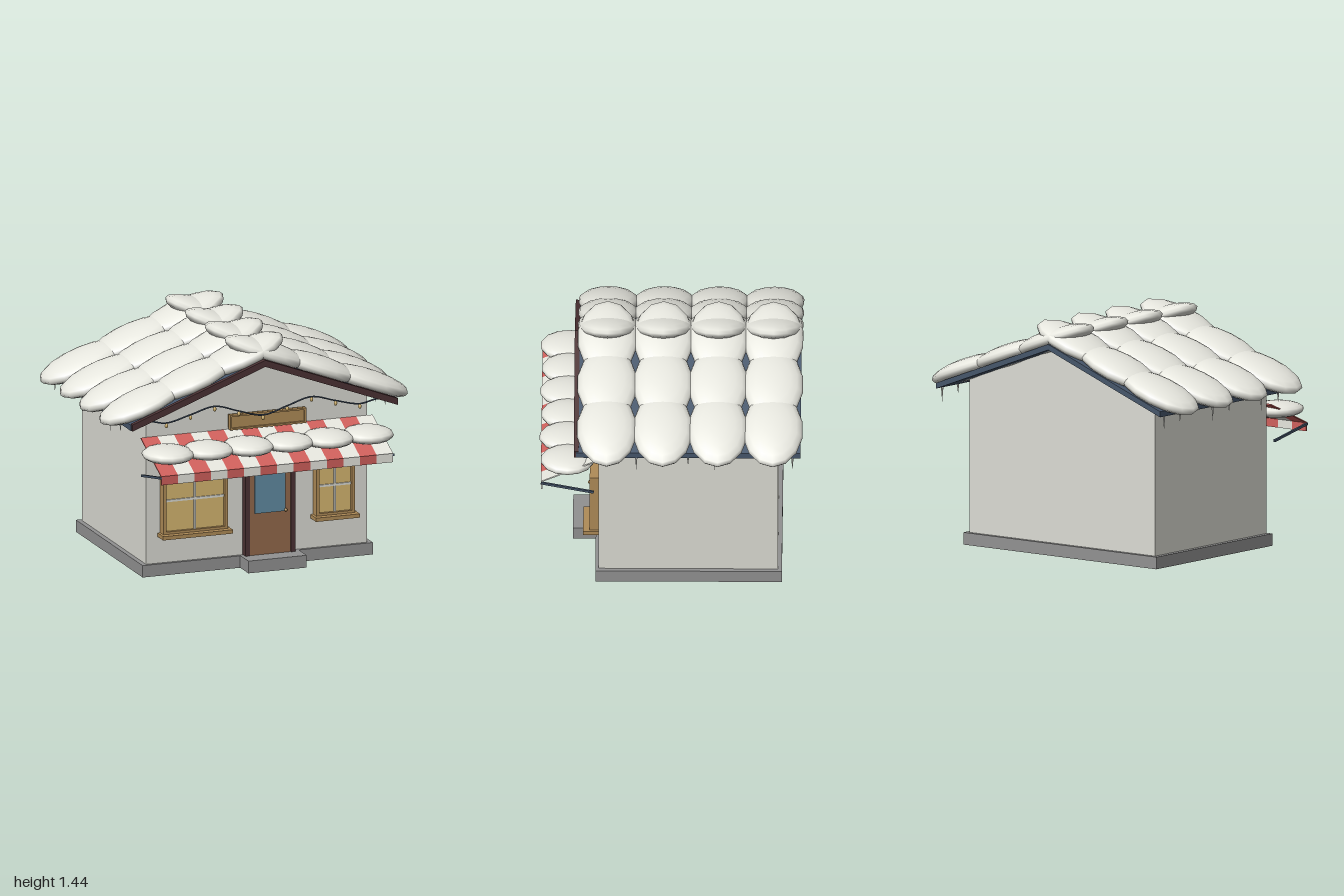
import * as THREE from 'three';

const mat = (name, color, side = THREE.FrontSide) => {
  const m = new THREE.MeshStandardMaterial({ color, side });
  m.name = name;
  return m;
};

export function createModel() {
  const model = new THREE.Group();
  model.name = 'snowyShop';

  const wall = mat('plaster', 0xdcdcd4);
  const stone = mat('stone', 0x929292);
  const blue = mat('slateBlue', 0x46566b);
  const trim = mat('darkTrim', 0x4c3234);
  const wood = mat('lightWood', 0xb08c58);
  const brown = mat('doorBrown', 0x94694c);
  const doorGlass = mat('doorGlass', 0x618ba2);
  const pane = mat('warmPane', 0xd6b670);
  const red = mat('awningRed', 0xd0605c);
  const snow = mat('snow', 0xe6e6de);

  const add = (name, geometry, material, x = 0, y = 0, z = 0, parent = model) => {
    const mesh = new THREE.Mesh(geometry, material);
    mesh.name = name;
    mesh.position.set(x, y, z);
    parent.add(mesh);
    return mesh;
  };
  // Box given by its limits on each axis
  const box = (name, material, x0, x1, y0, y1, z0, z1, parent = model) =>
    add(name, new THREE.BoxGeometry(x1 - x0, y1 - y0, z1 - z0), material,
      (x0 + x1) / 2, (y0 + y1) / 2, (z0 + z1) / 2, parent);
  const group = (name) => {
    const g = new THREE.Group();
    g.name = name;
    model.add(g);
    return g;
  };
  // Flat outline in x and y, extruded from z0 to z1
  const slab = (name, material, points, z0, z1) => {
    const shape = new THREE.Shape(points.map(([x, y]) => new THREE.Vector2(x, y)));
    const geometry = new THREE.ExtrudeGeometry(shape, { depth: z1 - z0, bevelEnabled: false });
    return add(name, geometry, material, 0, 0, z0);
  };

  // Base, doorstep and walls
  box('foundation', stone, -0.75, 0.75, 0, 0.075, -0.675, 0.46);
  box('doorstep', stone, -0.115, 0.265, 0, 0.077, 0.46, 0.6);
  box('walls', wall, -0.72, 0.72, 0.075, 0.975, -0.65, 0.44);
  slab('gables', wall, [[-0.72, 0.975], [0.72, 0.975], [0.72, 1.02], [0, 1.3], [-0.72, 1.02]], -0.65, 0.44);

  // Roof and front fascia share one chevron section
  const chevron = (top, t, w) => [
    [-w, top - w * 0.375], [-w, top - t - w * 0.375], [0, top - t],
    [w, top - t - w * 0.375], [w, top - w * 0.375], [0, top]];
  slab('roof', blue, chevron(1.325, 0.035, 0.87), -0.79, 0.575);
  slab('fascia', trim, chevron(1.33, 0.042, 0.865), 0.56, 0.59);

  // Snow pillows on the roof; the top pair crosses over the ridge
  const ball = new THREE.SphereGeometry(1, 14, 10);
  const roofSnow = group('roofSnow');
  const slope = Math.atan(0.37);
  [0.39, 0.05, -0.285, -0.62].forEach((z) => {
    for (const s of [-1, 1]) {
      for (const x of [0.735, 0.41, 0.08]) {
        const b = add('snowPillow', ball, snow, s * x, 1.355 - 0.37 * x, z, roofSnow);
        b.scale.set(0.283, 0.068, 0.185);
        b.rotation.z = -s * slope;
      }
    }
  });

  // Icicles under both eaves
  const icicles = group('icicles');
  [[0.375, 0.08], [0.21, 0.11], [-0.105, 0.08], [-0.265, 0.115], [-0.585, 0.08], [-0.74, 0.11]].forEach(([z, h]) => {
    for (const s of [-1, 1]) {
      const cone = add('icicle', new THREE.ConeGeometry(0.009, h, 6), snow, s * 0.862, 0.985 - h / 2, z, icicles);
      cone.rotation.x = Math.PI;
    }
  });

  // Striped awning: sloping cloth with a hanging front edge
  const awning = group('awning');
  const step = 1.51 / 14;
  const pitch = Math.atan2(0.155, 0.35);
  for (let i = 0; i < 14; i++) {
    const x = -0.755 + (i + 0.5) * step;
    const m = i % 2 ? snow : red;
    const cloth = add('awningStripe', new THREE.BoxGeometry(step, 0.008, 0.383), m, x, 0.795, 0.615, awning);
    cloth.rotation.x = pitch;
    box('awningValance', m, x - step / 2, x + step / 2, 0.665, 0.72, 0.782, 0.79, awning);
  }
  for (const s of [-1, 1]) {
    const brace = add('awningBrace', new THREE.BoxGeometry(0.014, 0.014, 0.328), blue, s * 0.757, 0.678, 0.63, awning);
    brace.rotation.x = -Math.atan2(0.065, 0.32);
  }
  for (let i = 0; i < 6; i++) {
    const b = add('awningSnow', ball, snow, -0.65 + i * 0.26, 0.812, 0.63, awning);
    b.scale.set(0.16, 0.05, i % 2 ? 0.165 : 0.175);
  }

  // Door with frame, glass and handle
  const door = group('door');
  box('doorFrameLeft', trim, 0.205, 0.235, 0.075, 0.66, 0.43, 0.492, door);
  box('doorFrameRight', trim, -0.092, -0.062, 0.075, 0.66, 0.43, 0.492, door);
  box('doorFrameTop', trim, -0.062, 0.205, 0.637, 0.66, 0.43, 0.492, door);
  box('doorPanel', brown, -0.062, 0.205, 0.075, 0.637, 0.43, 0.485, door);
  box('doorGlass', doorGlass, -0.03, 0.168, 0.34, 0.59, 0.485, 0.494, door);
  add('doorHandle', new THREE.SphereGeometry(0.01, 8, 6), wood, 0.168, 0.348, 0.5, door);

  // Four bars around a rectangle
  const border = (name, x0, x1, y0, y1, z0, z1, t, g) => {
    box(name, wood, x0, x1, y0, y0 + t, z0, z1, g);
    box(name, wood, x0, x1, y1 - t, y1, z0, z1, g);
    box(name, wood, x0, x0 + t, y0 + t, y1 - t, z0, z1, g);
    box(name, wood, x1 - t, x1, y0 + t, y1 - t, z0, z1, g);
  };

  // Windows with cross bars and sills
  const makeWindow = (name, x0, x1, y0, y1) => {
    const g = group(name);
    const cx = (x0 + x1) / 2, cy = (y0 + y1) / 2;
    border('windowFrame', x0, x1, y0, y1, 0.43, 0.495, 0.021, g);
    box('windowPane', pane, x0 + 0.02, x1 - 0.02, y0 + 0.02, y1 - 0.02, 0.43, 0.475, g);
    box('uprightBar', wall, cx - 0.007, cx + 0.007, y0 + 0.02, y1 - 0.02, 0.475, 0.484, g);
    box('crossBar', wall, x0 + 0.02, x1 - 0.02, cy - 0.007, cy + 0.007, 0.475, 0.483, g);
    box('windowSill', wood, x0 - 0.017, x1 + 0.017, y0 - 0.018, y0 + 0.006, 0.43, 0.535, g);
  };
  makeWindow('rightWindow', -0.628, -0.207, 0.26, 0.685);
  makeWindow('leftWindow', 0.368, 0.62, 0.28, 0.66);

  // Blank sign board
  const sign = group('sign');
  box('signBoard', wood, -0.185, 0.3, 0.885, 0.97, 0.44, 0.475, sign);
  border('signBorder', -0.19, 0.305, 0.88, 0.975, 0.46, 0.49, 0.011, sign);

  // String of lights under the front gable
  const lights = group('stringLights');
  const heights = [0.985, 1.022, 1.06, 1.015, 0.975, 1.018, 1.06, 1.02, 0.985];
  const points = heights.map((y, i) => new THREE.Vector3(-0.63 + i * 0.1575, y, 0.55));
  const ends = [-1, 1].map((s) => new THREE.Vector3(s * 0.83, 0.995, 0.55));
  const shoulders = [-1, 1].map((s) => new THREE.Vector3(s * 0.74, 1.005, 0.55));
  const path = new THREE.CatmullRomCurve3([ends[0], shoulders[0], ...points, shoulders[1], ends[1]]);
  add('lightWire', new THREE.TubeGeometry(path, 60, 0.005, 6), blue, 0, 0, 0, lights);
  points.forEach((p) => {
    const bulb = add('bulb', new THREE.SphereGeometry(0.011, 8, 6), pane, p.x, p.y - 0.017, p.z, lights);
    bulb.scale.y = 1.4;
  });

  return model;
}
